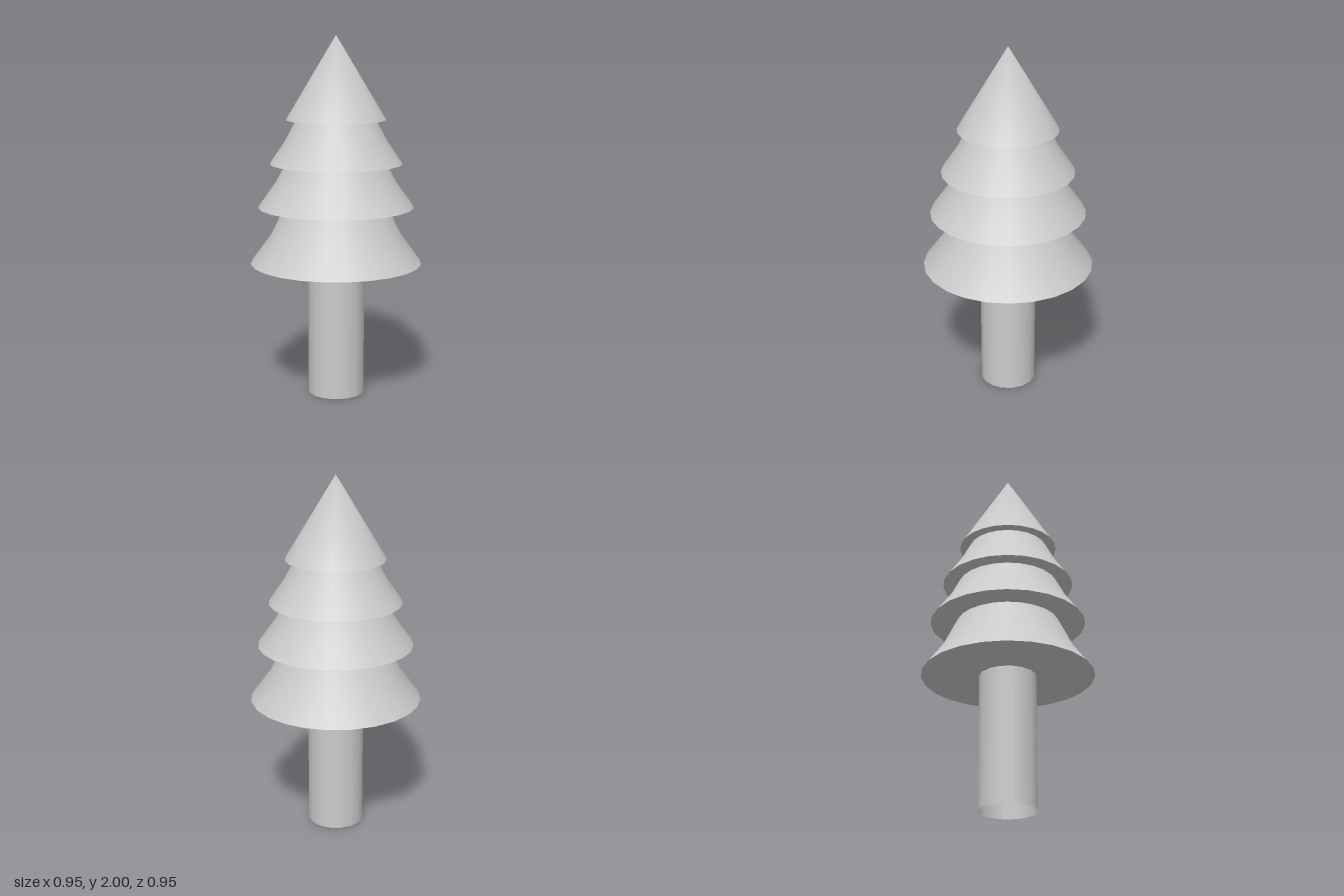
import * as THREE from 'three';

const material = new THREE.MeshStandardMaterial({ color: 0xcccccc, side: THREE.DoubleSide });
const SIDES = 24;
const TRUNK_RADIUS = 0.157;

// Skirt profiles as [radius, height], from rim to top
const tiers = [
  [[0.475, 0.75], [0.365, 0.9], [0.285, 1.065]],
  [[0.43, 1.065], [0.333, 1.2], [0.28, 1.305]],
  [[0.365, 1.305], [0.28, 1.43], [0.22, 1.545]],
  [[0.275, 1.545], [0, 2]],
];

function lathe(name, profile) {
  const points = profile.map(([r, y]) => new THREE.Vector2(r, y));
  const mesh = new THREE.Mesh(new THREE.LatheGeometry(points, SIDES), material);
  mesh.name = name;
  return mesh;
}

export function createModel() {
  const tree = new THREE.Group();
  tree.name = 'tree';

  // Open trunk tube
  const trunk = new THREE.Mesh(
    new THREE.CylinderGeometry(TRUNK_RADIUS, TRUNK_RADIUS, 0.75, 16, 1, true), material);
  trunk.position.y = 0.375;
  trunk.name = 'trunk';
  tree.add(trunk);

  // Stacked foliage: each skirt has a flat underside reaching in to the tier below
  tiers.forEach((profile, i) => {
    const [rim, y] = profile[0];
    const inner = i === 0 ? 0 : tiers[i - 1].at(-1)[0];
    const tier = new THREE.Group();
    tier.name = `foliageTier${i + 1}`;
    const skirt = lathe('skirt', profile);
    tier.add(skirt, lathe('underside', [[inner, y], [rim, y]]));
    tree.add(tier);

    // Soft shading towards the tip
    if (i === tiers.length - 1) {
      const { position, normal } = skirt.geometry.attributes;
      for (let v = 0; v < position.count; v++) {
        if (position.getY(v) > 1.99) normal.setXYZ(v, 0, 1, 0);
      }
    }
  });

  return tree;
}
